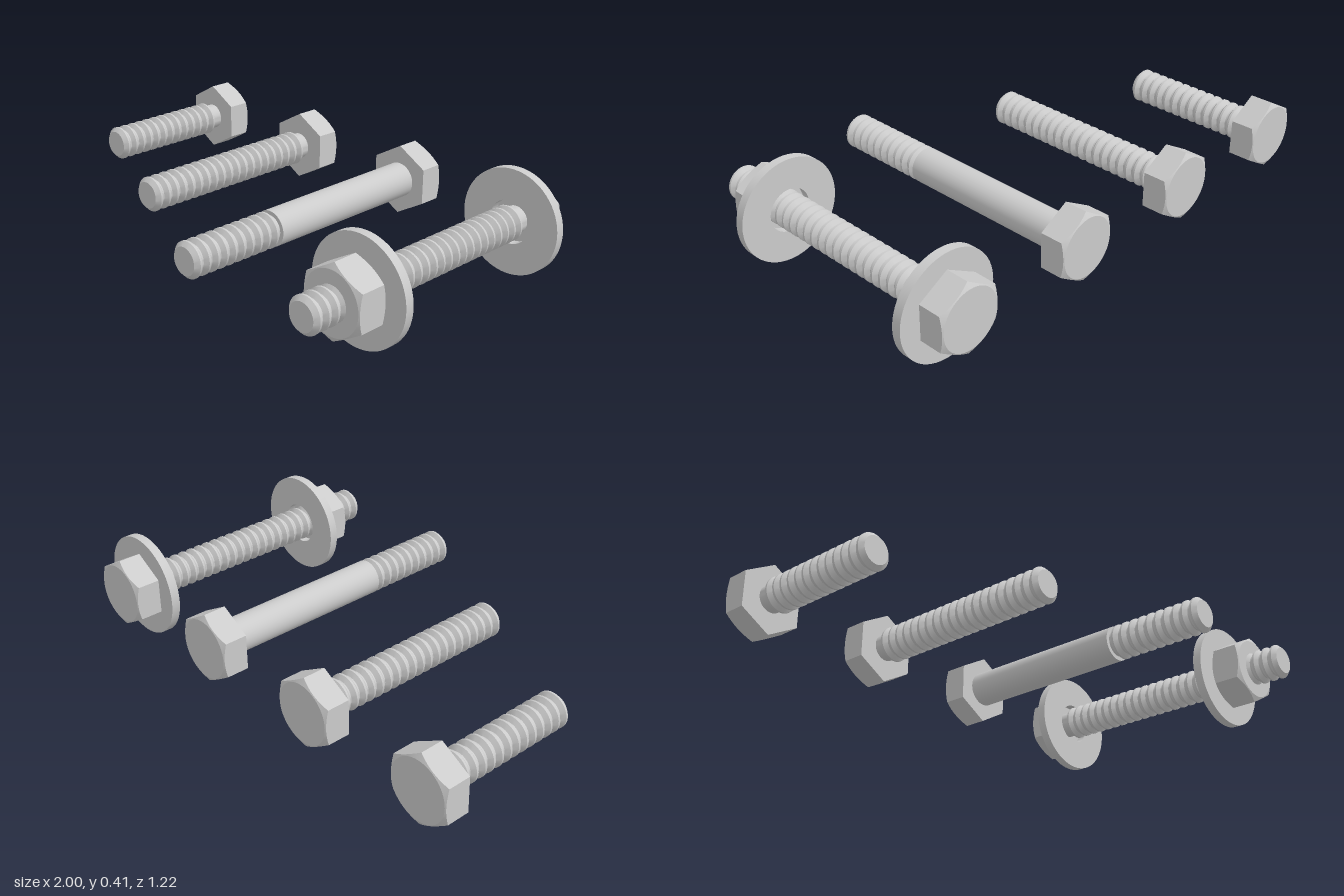
import * as THREE from 'three';
import { toCreasedNormals } from 'three/addons/utils/BufferGeometryUtils.js';

const AXIS_Y = 0.205;      // height of every bolt axis
const MAJOR = 0.069, MINOR = 0.053, PITCH = 0.04;
const APOTHEM = 0.122;     // half the hexagon's width across flats
const BEVEL = 0.118;       // radius where the corner bevel begins
const BACK = -0.61, SEAT = -0.506;

const material = new THREE.MeshStandardMaterial({ color: 0xcccccc });

// Revolve [radius, z] points (back to front) around the z axis
function lathe(points, segments) {
  return new THREE.LatheGeometry(points.map(([r, z]) => new THREE.Vector2(r, z)), segments);
}

function addPart(group, name, geometry, crease = 0.4) {
  geometry.rotateX(Math.PI / 2);
  const mesh = new THREE.Mesh(toCreasedNormals(geometry, crease), material);
  mesh.name = name;
  group.add(mesh);
}

// Hexagonal prism, with the corners cut by a 30 degree cone at the chosen ends
function hexGeometry(z0, z1, hole, bevelBack, bevelFront) {
  const points = [[hole, z0], [BEVEL, z0], [APOTHEM, z0], [APOTHEM, z1], [BEVEL, z1], [hole, z1]];
  if (hole > 0) points.push([hole, z0]);
  const geometry = lathe(points, 48);
  const pos = geometry.attributes.position;
  const sector = Math.PI / 3;
  for (let i = 0; i < pos.count; i++) {
    const x = pos.getX(i), z = pos.getZ(i), y = pos.getY(i);
    if (Math.hypot(x, z) < (BEVEL + APOTHEM) / 2) continue;
    const angle = Math.atan2(x, z) + 2 * Math.PI + 1e-6;
    const r = APOTHEM / Math.cos((angle % sector) - sector / 2);
    const drop = (r - BEVEL) * Math.tan(Math.PI / 6);
    const isBack = y < (z0 + z1) / 2;
    const shift = isBack ? (bevelBack ? drop : 0) : (bevelFront ? -drop : 0);
    const a = Math.atan2(x, z);
    pos.setXYZ(i, r * Math.sin(a), y + shift, r * Math.cos(a));
  }
  return geometry;
}

// Ridged rod from z0 to the bevelled tip at z1
function threadGeometry(z0, z1) {
  const profile = [[0, z1], [MINOR, z1]];
  for (let z = z1 - PITCH / 2; z > z0 + PITCH / 2; z -= PITCH) {
    profile.push(
      [MAJOR, z + 0.004], [MAJOR, z - 0.004],
      [MINOR, z - PITCH / 2 + 0.003], [MINOR, z - PITCH / 2 - 0.003]
    );
  }
  profile.push([MINOR, z0], [0, z0]);
  return lathe(profile.reverse(), 40);
}

function washerGeometry(z0, z1) {
  const outer = 0.205, hole = 0.085;
  return lathe([[hole, z0], [outer, z0], [outer, z1], [hole, z1], [hole, z0]], 64);
}

function makeBolt(name, x, threadStart, tip) {
  const bolt = new THREE.Group();
  bolt.name = name;
  bolt.position.set(x, AXIS_Y, 0);
  addPart(bolt, 'hexHead', hexGeometry(BACK, SEAT, 0, true, false));
  // Plain shank between the head and the thread
  if (threadStart > SEAT) {
    addPart(bolt, 'shank', lathe([[0, SEAT], [MAJOR, SEAT], [MAJOR, threadStart], [0, threadStart]], 40));
  }
  addPart(bolt, 'thread', threadGeometry(threadStart, tip));
  return bolt;
}

export function createModel() {
  const model = new THREE.Group();
  model.name = 'boltSet';
  model.add(makeBolt('shortBolt', -0.878, SEAT, 0.05));
  model.add(makeBolt('mediumBolt', -0.322, SEAT, 0.325));
  model.add(makeBolt('partThreadedBolt', 0.236, 0.205, 0.61));

  // Long bolt fitted with two washers and a nut
  const assembly = makeBolt('boltWithNut', 0.795, SEAT, 0.61);
  addPart(assembly, 'headWasher', washerGeometry(SEAT, -0.47));
  addPart(assembly, 'nutWasher', washerGeometry(0.317, 0.352));
  addPart(assembly, 'hexNut', hexGeometry(0.352, 0.477, 0.066, true, true));
  model.add(assembly);
  return model;
}
